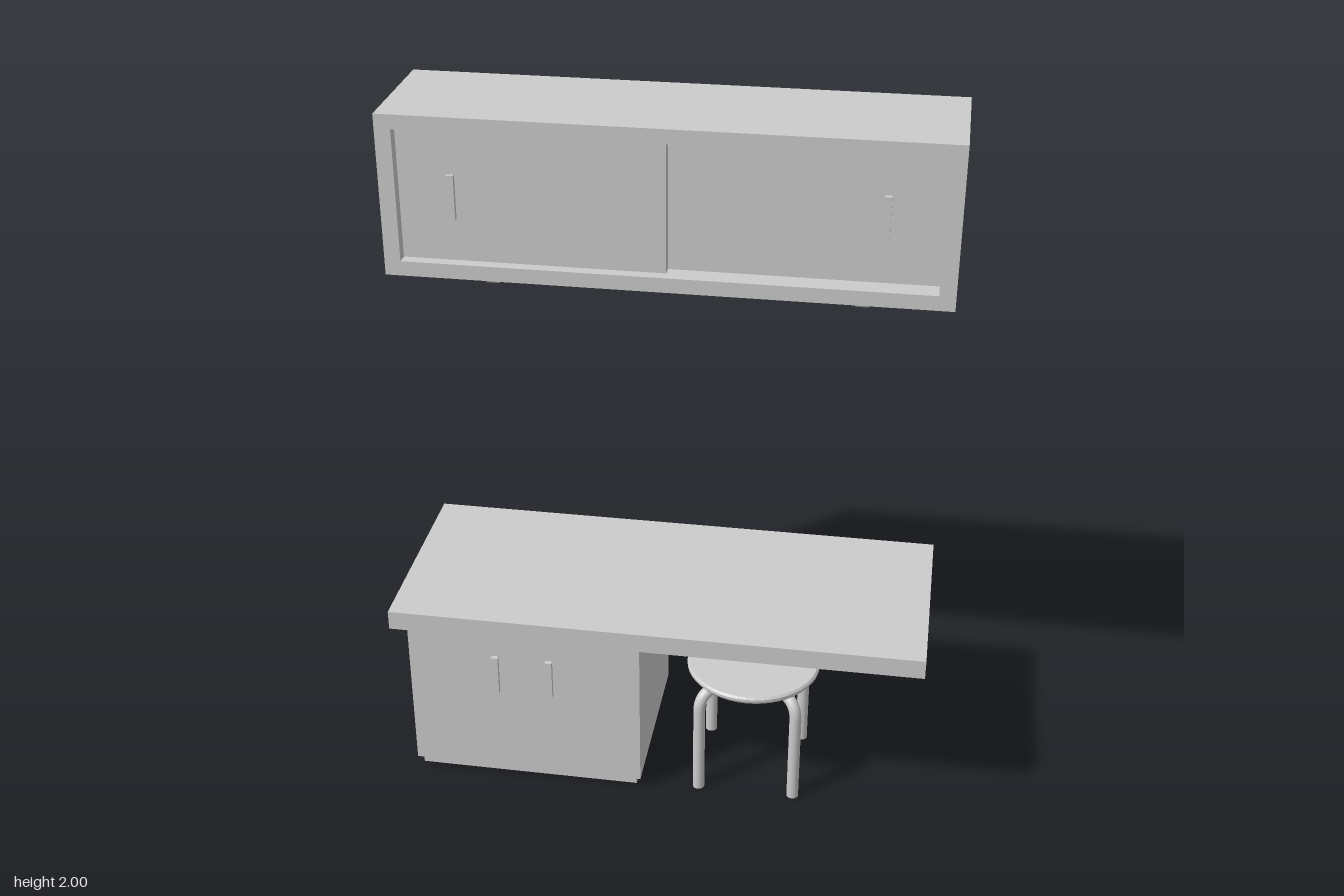
import * as THREE from 'three';

const grey = new THREE.MeshStandardMaterial({ color: 0xcccccc });

function add(parent, name, geometry, x = 0, y = 0, z = 0) {
  const mesh = new THREE.Mesh(geometry, grey);
  mesh.name = name;
  mesh.position.set(x, y, z);
  parent.add(mesh);
  return mesh;
}

// Box given by its limits on each axis
function box(parent, name, [x0, x1], [y0, y1], [z0, z1]) {
  return add(parent, name, new THREE.BoxGeometry(x1 - x0, y1 - y0, z1 - z0),
    (x0 + x1) / 2, (y0 + y1) / 2, (z0 + z1) / 2);
}

function group(parent, name) {
  const g = new THREE.Group();
  g.name = name;
  parent.add(g);
  return g;
}

function rect(PathType, x0, x1, y0, y1) {
  return new PathType([[x0, y0], [x1, y0], [x1, y1], [x0, y1]].map(p => new THREE.Vector2(...p)));
}

function buildWallCabinet(parent) {
  const g = group(parent, 'wallCabinet');
  // Open-fronted carcass
  const outline = rect(THREE.Shape, -0.77, 0.77, 1.545, 2);
  outline.holes.push(rect(THREE.Path, -0.725, 0.725, 1.587, 1.96));
  add(g, 'carcass', new THREE.ExtrudeGeometry(outline, { depth: 0.36, bevelEnabled: false }), 0, 0, -0.285);
  box(g, 'backPanel', [-0.77, 0.77], [1.545, 2], [-0.307, -0.285]);
  // Sliding doors on two tracks
  box(g, 'frontSlidingDoor', [-0.725, 0], [1.587, 1.96], [0.012, 0.042]);
  box(g, 'rearSlidingDoor', [-0.02, 0.725], [1.587, 1.96], [-0.018, 0.012]);
  box(g, 'doorHandle', [-0.589, -0.57], [1.708, 1.832], [0.042, 0.055]);
  box(g, 'doorHandle', [0.567, 0.586], [1.708, 1.832], [0.012, 0.025]);
}

function buildLamp(parent) {
  const g = group(parent, 'underCabinetLamp');
  box(g, 'lampBase', [-0.613, 0.61], [1.498, 1.545], [-0.15, -0.077]);
  const rod = (name, r, length, x) =>
    add(g, name, new THREE.CylinderGeometry(r, r, length, 24), x, 1.478, -0.114).rotation.z = Math.PI / 2;
  rod('lampTube', 0.014, 1.02, 0);
  for (const s of [-1, 1]) rod('lampSocket', 0.021, 0.036, s * 0.519);
}

function buildDesk(parent) {
  const g = group(parent, 'desk');
  box(g, 'deskTop', [-0.77, 0.77], [0.532, 0.59], [-0.307, 0.307]);
  box(g, 'baseCabinet', [-0.73, -0.043], [0.038, 0.532], [-0.267, 0.267]);
  box(g, 'plinth', [-0.715, -0.057], [0.009, 0.038], [-0.252, 0.252]);
  for (const x of [-0.47, -0.31])
    box(g, 'cabinetHandle', [x - 0.01, x + 0.01], [0.317, 0.44], [0.267, 0.28]);
}

function buildStool(parent) {
  const g = group(parent, 'stool');
  g.position.set(0.268, 0, 0.08);
  // Round seat with a softened lower rim
  const rim = [[0, 0.358], [0.188, 0.358], [0.196, 0.368], [0.196, 0.376], [0.191, 0.382], [0, 0.382]];
  const profile = rim.map(p => new THREE.Vector2(...p));
  const seat = new THREE.LatheGeometry(profile, 48).toNonIndexed();
  seat.computeVertexNormals();
  add(g, 'seat', seat);

  // Two crossing bent tubes form the four legs
  const reach = 0.2, top = 0.341, bend = 0.06;
  const v = (x, y) => new THREE.Vector3(x, y, 0);
  const path = new THREE.CurvePath();
  path.add(new THREE.LineCurve3(v(-reach, 0), v(-reach, top - bend)));
  path.add(new THREE.QuadraticBezierCurve3(v(-reach, top - bend), v(-reach, top), v(-reach + bend, top)));
  path.add(new THREE.LineCurve3(v(-reach + bend, top), v(reach - bend, top)));
  path.add(new THREE.QuadraticBezierCurve3(v(reach - bend, top), v(reach, top), v(reach, top - bend)));
  path.add(new THREE.LineCurve3(v(reach, top - bend), v(reach, 0)));
  const tube = new THREE.TubeGeometry(path, 96, 0.0175, 16);
  for (const angle of [Math.PI / 4, -Math.PI / 4]) {
    const legs = group(g, 'legPair');
    legs.rotation.y = angle;
    add(legs, 'bentTube', tube);
    for (const s of [-1, 1])
      add(legs, 'foot', new THREE.CylinderGeometry(0.0175, 0.0175, 0.004, 16), s * reach, 0.002, 0);
  }
}

export function createModel() {
  const model = new THREE.Group();
  model.name = 'workstation';
  buildWallCabinet(model);
  buildLamp(model);
  buildDesk(model);
  buildStool(model);
  return model;
}
